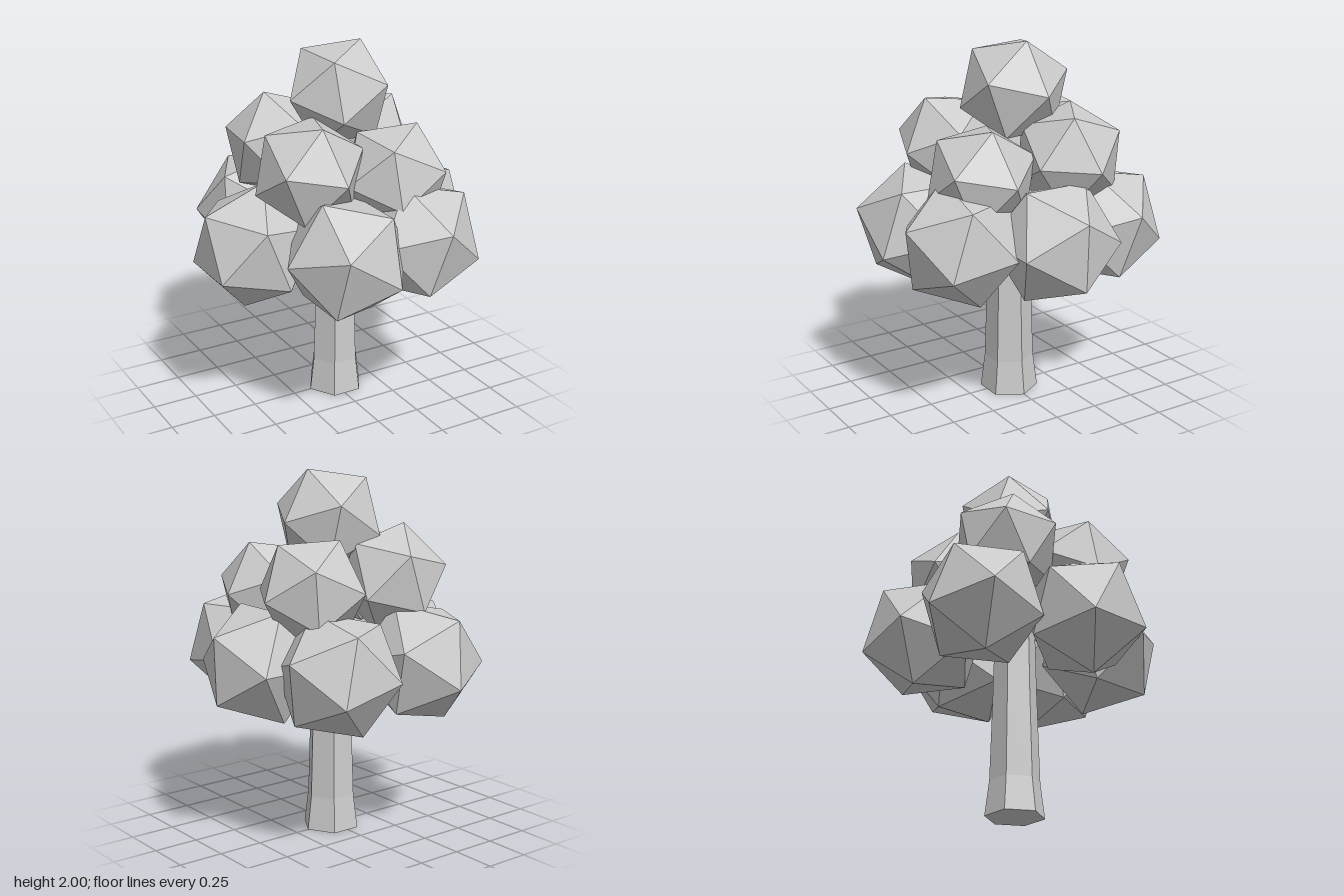
import * as THREE from 'three';

const material = new THREE.MeshStandardMaterial({ color: 0xcccccc, flatShading: true });

// Each clump: centre, then the offsets of two neighbouring corners, which set its tilt.
const LOWER = [
  [[-0.497, 0.973, 0.03], [-0.273, 0.207, 0], [-0.273, -0.103, 0.18]],
  [[0.465, 0.997, 0.005], [0.298, 0.178, 0], [0.283, -0.192, 0]],
  [[-0.24, 0.99, -0.446], [-0.06, 0.245, -0.234], [0.01, -0.1, -0.329]],
  [[0.29, 0.985, -0.415], [0.06, 0.25, -0.235], [0.17, -0.112, -0.28]],
  [[0.258, 1.007, 0.443], [0, 0.123, 0.322], [0.267, -0.107, 0.2]],
  [[-0.178, 0.99, 0.457], [-0.15, 0.1, 0.295], [0.15, -0.1, 0.3]],
];
const MIDDLE = [
  [[-0.26, 1.395, 0.21], [0, 0.265, 0.155], [0.06, 0, 0.3]],
  [[0.205, 1.32, 0.29], [0.13, 0.28, 0.005], [0.16, 0.06, 0.255]],
  [[0.287, 1.385, -0.195], [0.155, 0.245, 0.075], [0.295, -0.03, -0.005]],
  [[-0.2, 1.415, -0.25], [-0.07, 0.285, -0.02], [0.08, 0.165, -0.26]],
];
const CROWN = [[[0.04, 1.725, -0.012], [0.13, 0.27, 0], [0.15, 0.07, 0.25]]];

// Icosahedron turned so that one of its edges runs between the two given corners.
function clump([centre, a, b], radius, name) {
  const mesh = new THREE.Mesh(new THREE.IcosahedronGeometry(radius, 0), material);
  const p = new THREE.Vector3(...a).normalize();
  const q = new THREE.Vector3(...b).normalize();
  const y = p.clone().add(q).normalize();
  const x = q.sub(p).normalize();
  const z = x.clone().cross(y);
  mesh.quaternion.setFromRotationMatrix(new THREE.Matrix4().makeBasis(x, y, z));
  mesh.position.set(...centre);
  mesh.name = name;
  return mesh;
}

function tier(name, clumps, radius) {
  const group = new THREE.Group();
  group.name = name;
  clumps.forEach((c, i) => group.add(clump(c, radius, `${name}Clump${i + 1}`)));
  return group;
}

export function createModel() {
  const tree = new THREE.Group();
  tree.name = 'tree';

  // Six-sided trunk with a flared foot
  const profile = [[0, 0], [0.16, 0], [0.136, 0.19], [0.12, 0.7], [0.11, 1.2], [0, 1.2]];
  const trunk = new THREE.Mesh(
    new THREE.LatheGeometry(profile.map(([r, y]) => new THREE.Vector2(r, y)), 6),
    material
  );
  trunk.rotation.y = Math.PI / 2;
  trunk.position.x = 0.013;
  trunk.name = 'trunk';

  // Foliage in three tiers
  tree.add(
    trunk,
    tier('lowerFoliage', LOWER, 0.345),
    tier('middleFoliage', MIDDLE, 0.303),
    tier('topFoliage', CROWN, 0.302)
  );
  return tree;
}
